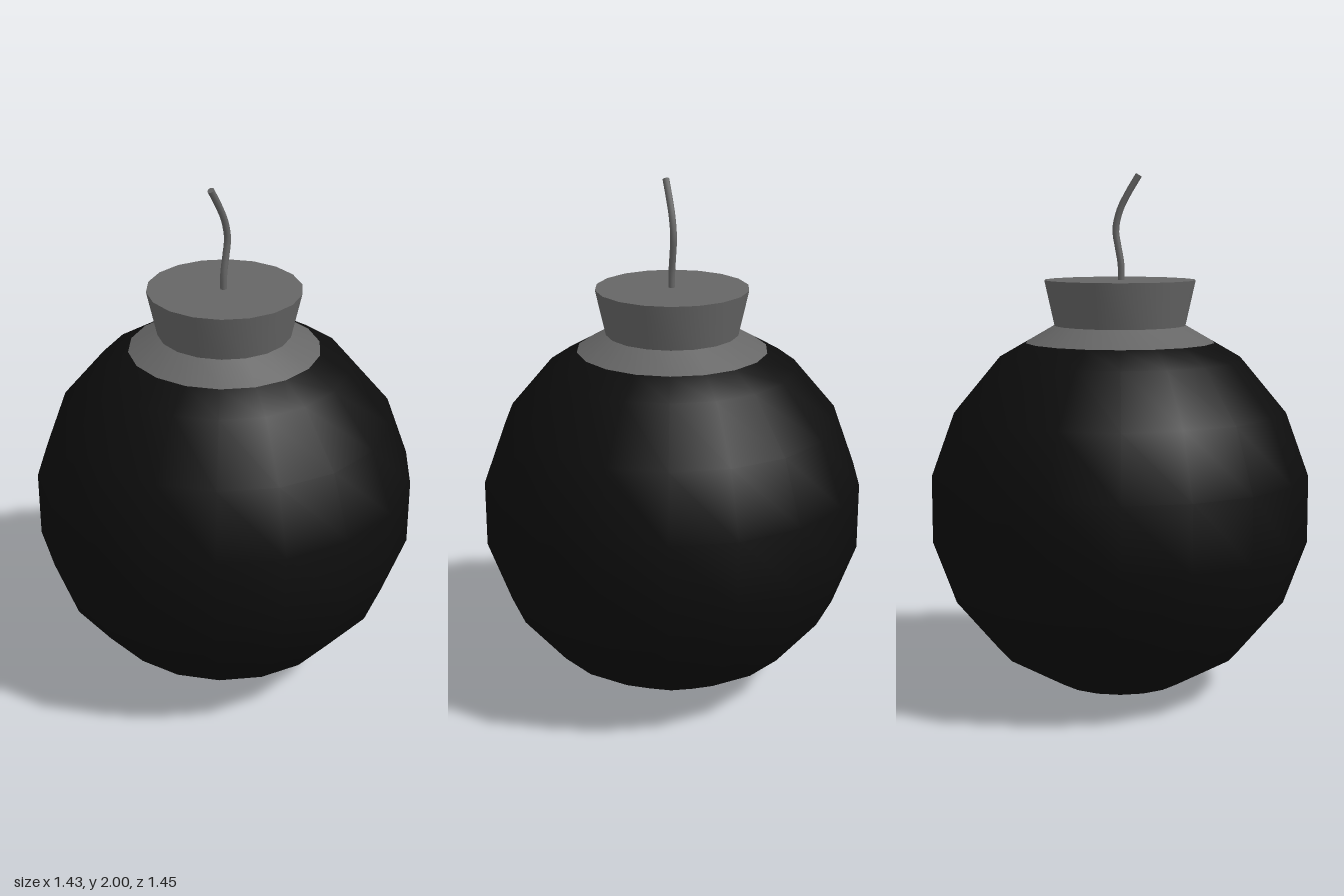
import * as THREE from 'three';
import { toCreasedNormals } from 'three/addons/utils/BufferGeometryUtils.js';

const SIDES = 18;

export function createModel() {
  const black = new THREE.MeshStandardMaterial({ color: 0x0d0d0d });
  black.name = 'black shell';
  const grey = new THREE.MeshStandardMaterial({ color: 0x666666 });
  grey.name = 'grey metal';

  const model = new THREE.Group();
  model.name = 'roundBomb';
  const add = (name, geometry, material) => {
    const mesh = new THREE.Mesh(geometry, material);
    mesh.name = name;
    model.add(mesh);
    return mesh;
  };

  // Ball: rings every 20 degrees, cut off halfway up the top band
  const R = 0.736;
  const ring = (i) => {
    const a = (i * Math.PI) / 9;
    return new THREE.Vector2(R * Math.sin(a), R * (1 - Math.cos(a)));
  };
  const rim = ring(7).lerp(ring(8), 0.5);
  const ball = [];
  for (let i = 0; i <= 7; i++) ball.push(ring(i));
  ball[0].x = 0;
  ball.push(rim);
  add('body', new THREE.LatheGeometry(ball, SIDES), black);

  // Collar, flared neck and flat lid
  const neck = [rim, ring(8), new THREE.Vector2(0.29, 1.6), new THREE.Vector2(0, 1.6)];
  add('neck', toCreasedNormals(new THREE.LatheGeometry(neck, SIDES), 0.6), grey);

  // Bent fuse
  const path = new THREE.CatmullRomCurve3(
    [[1.59, 0.005], [1.66, 0.004], [1.73, -0.008], [1.79, -0.016], [1.86, -0.001], [1.92, 0.028], [1.993, 0.072]]
      .map(([y, z]) => new THREE.Vector3(0, y, z)));
  const radius = 0.013;
  add('fuse', new THREE.TubeGeometry(path, 20, radius, 10), grey);

  // Fuse tip
  const tip = add('fuseTip', new THREE.CircleGeometry(radius, 10), grey);
  tip.position.copy(path.getPoint(1));
  tip.quaternion.setFromUnitVectors(new THREE.Vector3(0, 0, 1), path.getTangent(1));

  return model;
}
